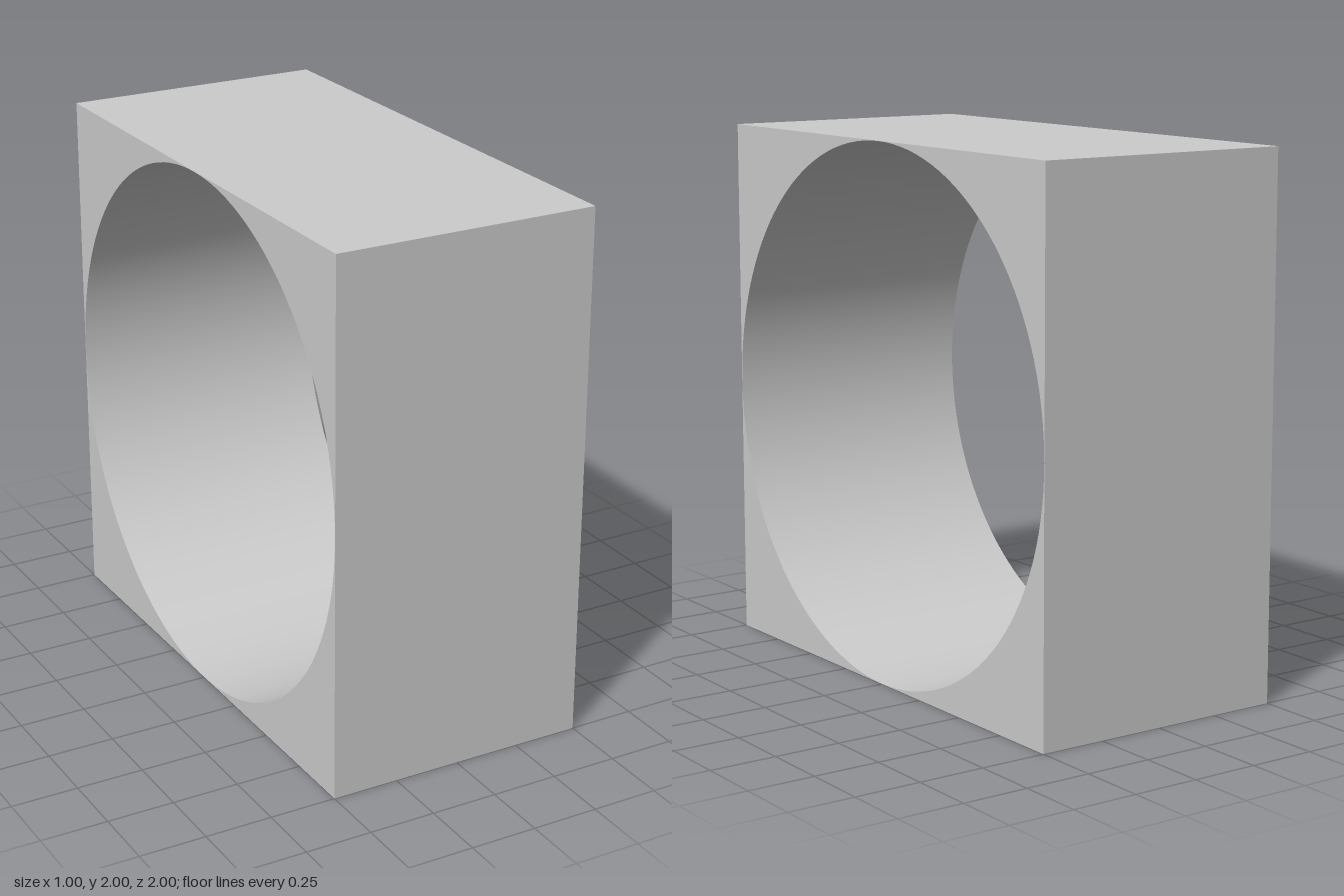
import * as THREE from 'three';
import { toCreasedNormals } from 'three/addons/utils/BufferGeometryUtils.js';

const SIZE = 2, DEPTH = 1, BORE_RADIUS = 0.999;

export function createModel() {
  const model = new THREE.Group();
  model.name = 'boredBlock';

  // Square outline with a round bore that almost reaches the sides
  const h = SIZE / 2;
  const outline = new THREE.Shape([
    new THREE.Vector2(-h, -h),
    new THREE.Vector2(h, -h),
    new THREE.Vector2(h, h),
    new THREE.Vector2(-h, h),
  ]);
  outline.holes.push(new THREE.Path().absarc(0, 0, BORE_RADIUS, 0, Math.PI * 2, true));

  // Extruded, then turned so that the bore runs along x
  const extruded = new THREE.ExtrudeGeometry(outline, { depth: DEPTH, bevelEnabled: false, curveSegments: 64 });
  extruded.translate(0, 0, -DEPTH / 2).rotateY(Math.PI / 2).translate(0, h, 0);

  // Smooth bore wall, sharp block edges
  const geometry = toCreasedNormals(extruded, Math.PI / 6);
  const block = new THREE.Mesh(geometry, new THREE.MeshStandardMaterial({ color: 0xcccccc }));
  block.name = 'blockWithBore';
  model.add(block);
  return model;
}
